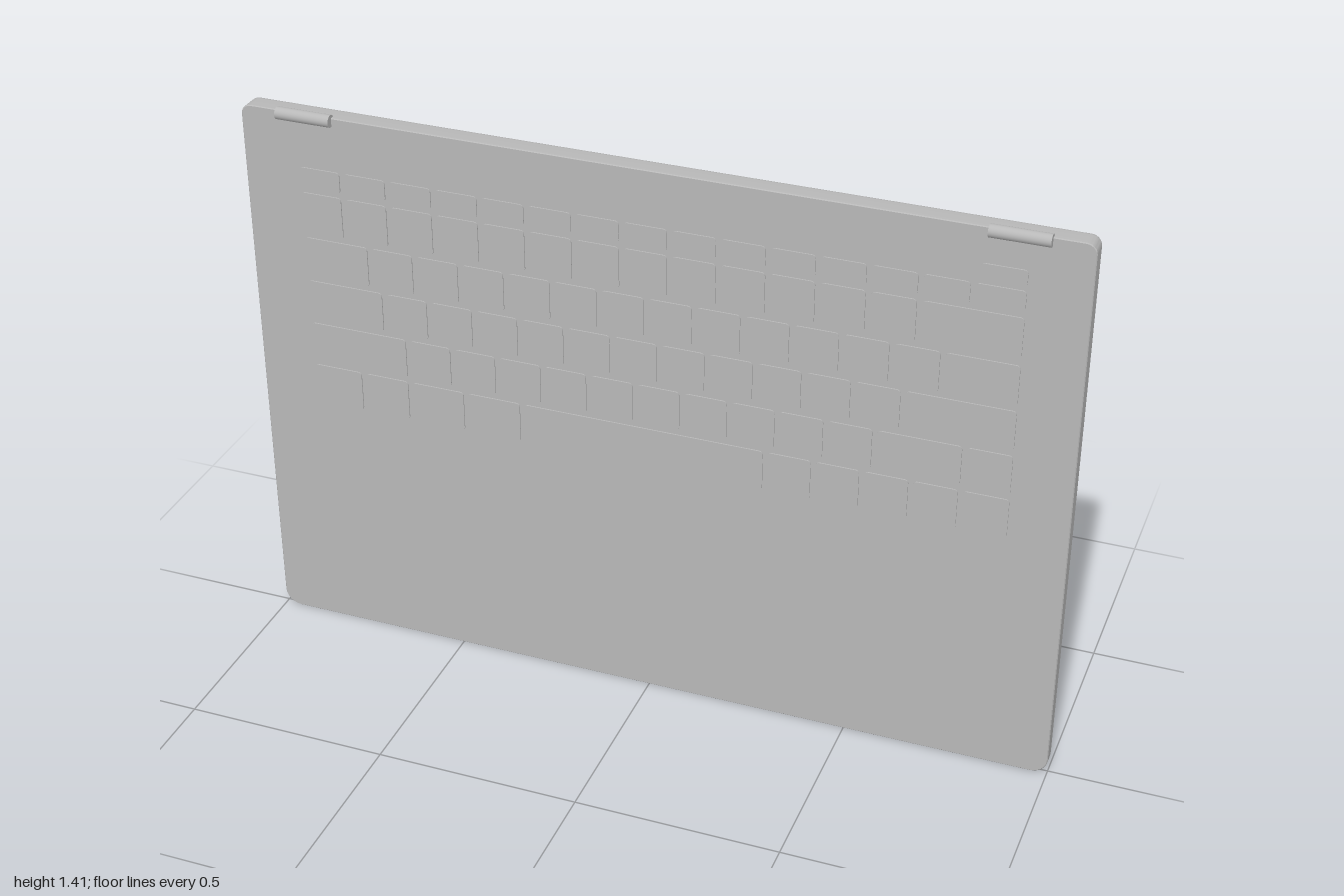
import * as THREE from 'three';
import { toCreasedNormals } from 'three/addons/utils/BufferGeometryUtils.js';

const HEIGHT = 1.405;
const FRONT_Z = 0.013; // front face at the bottom edge
const SLOPE = 0.008; // the case gets thicker toward the top
const BACK_Z = -0.037;

// Rounded outline of the case, pulled in by a given inset
function outline(inset) {
  const corners = [[1, 0, 0.04, -90], [1, HEIGHT, 0.025, 0], [-1, HEIGHT, 0.025, 90], [-1, 0, 0.04, 180]];
  const points = [];
  for (const [x, y, r, start] of corners) {
    const cx = x - Math.sign(x) * r;
    const cy = y === 0 ? r : y - r;
    for (let k = 0; k <= 6; k++) {
      const a = THREE.MathUtils.degToRad(start + k * 15);
      points.push([cx + (r - inset) * Math.cos(a), cy + (r - inset) * Math.sin(a)]);
    }
  }
  return points;
}

// Case lofted from front to back, with a crisp front edge and a rounded back edge
function caseGeometry() {
  const frontZ = (y) => FRONT_Z + SLOPE * y;
  const sections = [
    { inset: 0.002, z: frontZ },
    { inset: 0, z: (y) => frontZ(y) - 0.002 },
  ];
  const round = 0.02;
  for (let k = 0; k <= 6; k++) {
    const a = (k / 6) * Math.PI / 2;
    sections.push({ inset: round * (1 - Math.cos(a)), z: () => BACK_Z + round * (1 - Math.sin(a)) });
  }
  const position = [];
  const index = [];
  let n = 0;
  for (const s of sections) {
    const points = outline(s.inset);
    n = points.length;
    for (const [x, y] of points) position.push(x, y, s.z(y));
  }
  for (let i = 0; i < sections.length - 1; i++) {
    for (let j = 0; j < n; j++) {
      const j2 = (j + 1) % n;
      const a = i * n + j, b = i * n + j2, c = a + n, d = b + n;
      index.push(a, c, b, b, c, d);
    }
  }
  // flat front and back
  const mid = HEIGHT / 2;
  const front = position.length / 3;
  position.push(0, mid, frontZ(mid), 0, mid, BACK_Z);
  const last = (sections.length - 1) * n;
  for (let j = 0; j < n; j++) {
    const j2 = (j + 1) % n;
    index.push(front, j, j2, front + 1, last + j2, last + j);
  }
  const geometry = new THREE.BufferGeometry();
  geometry.setAttribute('position', new THREE.Float32BufferAttribute(position, 3));
  geometry.setIndex(index);
  return toCreasedNormals(geometry, 0.5);
}

// Plate with rounded corners, from z = 0 to z = depth
function plate(x0, x1, y0, y1, r, depth) {
  const s = new THREE.Shape();
  s.absarc(x1 - r, y0 + r, r, -Math.PI / 2, 0);
  s.absarc(x1 - r, y1 - r, r, 0, Math.PI / 2);
  s.absarc(x0 + r, y1 - r, r, Math.PI / 2, Math.PI);
  s.absarc(x0 + r, y0 + r, r, Math.PI, Math.PI * 1.5);
  return new THREE.ExtrudeGeometry(s, { depth, bevelEnabled: false, curveSegments: 4 });
}

// Evenly spaced key boundaries
const steps = (start, count) => Array.from({ length: count }, (_, i) => start + i * 0.115);

export function createModel() {
  const model = new THREE.Group();
  const grey = new THREE.MeshStandardMaterial({ color: 0xb8b8b8 });
  grey.name = 'grey';

  const add = (parent, name, geometry) => {
    const mesh = new THREE.Mesh(geometry, grey);
    mesh.name = name;
    parent.add(mesh);
    return mesh;
  };

  add(model, 'case', caseGeometry());

  // Keyboard, lying on the slightly tilted front face
  const keyboard = new THREE.Group();
  keyboard.name = 'keyboard';
  keyboard.position.z = FRONT_Z;
  keyboard.rotation.x = Math.atan(SLOPE);
  model.add(keyboard);

  const L = -0.865, R = 0.865, gap = 0.006;
  const rows = [
    { name: 'powerKey', y: [1.275, 1.325], x: [0.75, R] },
    { name: 'functionKey', y: [1.21, 1.275], x: [L, ...steps(-0.752, 14), R] },
    { name: 'numberKey', y: [1.092, 1.21], x: [L, ...steps(-0.752, 13), R] },
    { name: 'upperLetterKey', y: [0.977, 1.092], x: [L, ...steps(-0.693, 13), R] },
    { name: 'middleLetterKey', y: [0.862, 0.977], x: [L, ...steps(-0.662, 12), R] },
    { name: 'lowerLetterKey', y: [0.747, 0.862], x: [L, ...steps(-0.607, 11), 0.75, R] },
    { name: 'bottomKey', y: [0.63, 0.747], x: [L, -0.73, -0.607, -0.462, -0.317, ...steps(0.287, 5), R] },
  ];
  for (const { name, y, x } of rows) {
    for (let i = 0; i < x.length - 1; i++) {
      const key = add(keyboard, name,
        plate(x[i] + gap, x[i + 1] - gap, y[0] + gap, y[1] - gap, 0.009, 0.006));
      key.position.z = -0.003;
    }
  }

  // Hinge barrels at the top edge
  for (const side of [-1, 1]) {
    const barrel = new THREE.CylinderGeometry(0.015, 0.015, 0.136, 24).rotateZ(Math.PI / 2);
    add(model, side > 0 ? 'leftHinge' : 'rightHinge', barrel).position.set(side * 0.837, 1.399, 0.027);
  }

  // Long rubber feet on the back
  for (const [name, y, half] of [['upperFoot', 1.353, 0.835], ['lowerFoot', 0.06, 0.8]]) {
    add(model, name, plate(-half, half, y - 0.012, y + 0.012, 0.0115, 0.008)).position.z = -0.042;
  }

  return model;
}
